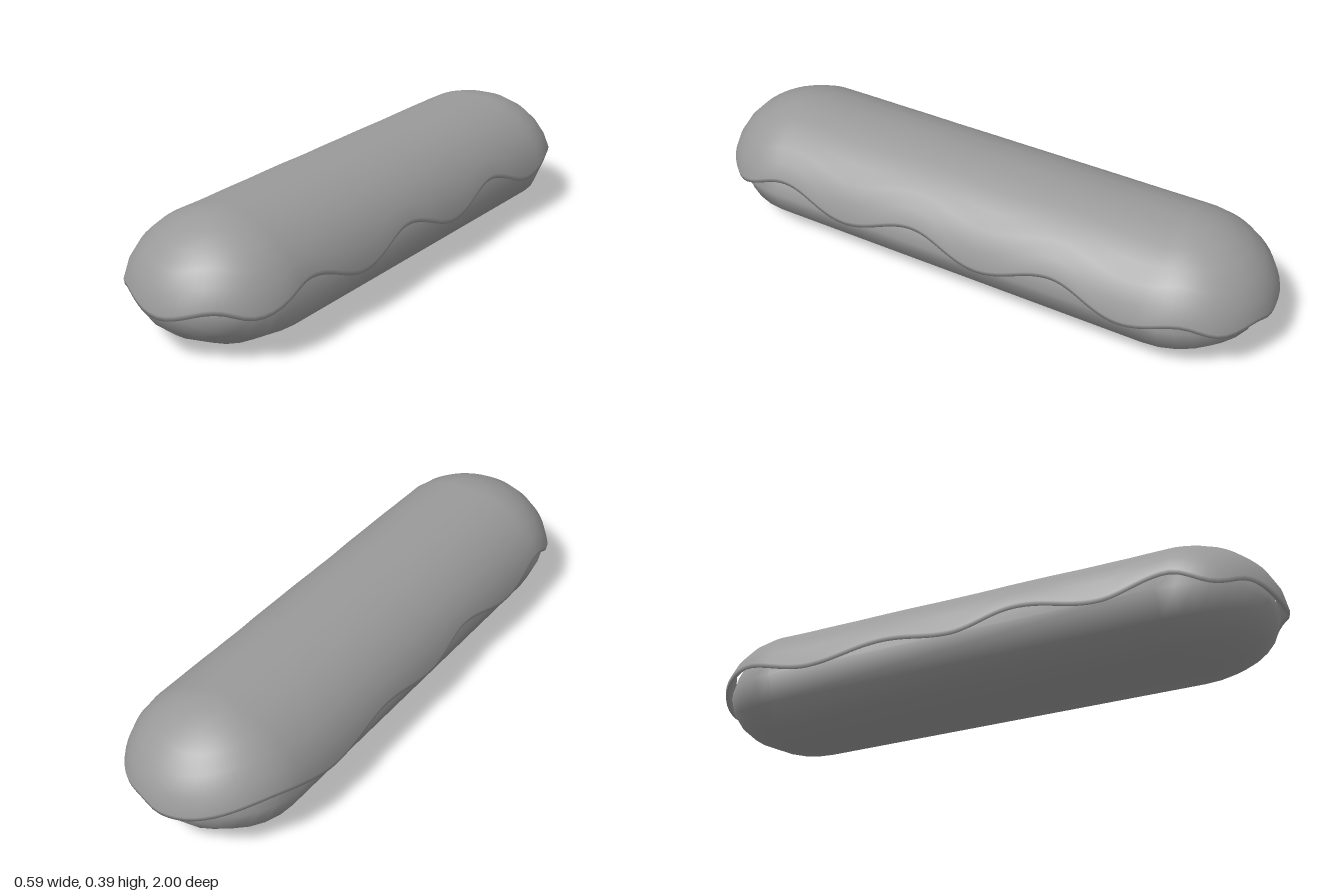
import * as THREE from 'three';
import { mergeVertices } from 'three/addons/utils/BufferGeometryUtils.js';

const HALF = 0.7;            // half length of the straight section
const RX = 0.296, RZ = 0.3;  // glaze radius across and along
const CY = 0.137, RY = 0.253; // glaze centre height and dome height
const CAP = Math.PI / 2 * 0.297; // length of a quarter-round end
const LENGTH = 4 * (CAP + HALF);

// Highs and lows of the drip edge: distance round the outline, height
const DRIPS = [
  [0, 0.14], [0.18, 0.174], [0.30, 0.15], [0.526, 0.208], [0.776, 0.146], [1.036, 0.208],
  [1.286, 0.146], [1.546, 0.208], [1.786, 0.146], [1.98, 0.185], [2.126, 0.15], [2.24, 0.162],
  [2.332, 0.147], [2.68, 0.2], [2.98, 0.143], [3.25, 0.178], [3.5, 0.148], [3.72, 0.195],
  [4.0, 0.145], [4.22, 0.195], [4.366, 0.15], [4.486, 0.177], [LENGTH, 0.14],
];

function dripHeight(s) {
  let i = 0;
  while (i < DRIPS.length - 2 && s > DRIPS[i + 1][0]) i++;
  const [s0, y0] = DRIPS[i], [s1, y1] = DRIPS[i + 1];
  const t = (s - s0) / (s1 - s0);
  return y0 + (y1 - y0) * (1 - Math.cos(Math.PI * t)) / 2;
}

// Stadium outline: front middle, +x side, back, -x side
function outline() {
  const pts = [];
  const add = (s, angle, z) => pts.push({ s, z, dx: Math.sin(angle), dz: Math.cos(angle) });
  const capSteps = 16, sideSteps = 70, q = Math.PI / 2;
  for (let i = 0; i < capSteps; i++) add(CAP * i / capSteps, q * i / capSteps, HALF);
  for (let i = 0; i < sideSteps; i++) {
    const d = 2 * HALF * i / sideSteps;
    add(CAP + d, q, HALF - d);
  }
  for (let i = 0; i < 2 * capSteps; i++) {
    add(CAP + 2 * HALF + CAP * i / capSteps, q + q * i / capSteps, -HALF);
  }
  for (let i = 0; i < sideSteps; i++) {
    const d = 2 * HALF * i / sideSteps;
    add(3 * CAP + 2 * HALF + d, 3 * q, -HALF + d);
  }
  for (let i = 0; i < capSteps; i++) {
    add(3 * CAP + 4 * HALF + CAP * i / capSteps, 3 * q + q * i / capSteps, HALF);
  }
  return pts;
}

// Dome rows from crest to drip edge, then a lip turned under
function glazeGeometry() {
  const pts = outline(), domeRows = 6;
  const lip = [[-0.003, -0.016], [-0.016, -0.006], [-0.034, 0.05]];
  const rows = domeRows + 1 + lip.length;
  const pos = [], index = [];
  for (const p of pts) {
    const edgeY = dripHeight(p.s) + 0.016;
    const edge = Math.acos((edgeY - CY) / RY);
    const put = (r, y) => pos.push(p.dx * RX * r, y, p.z + p.dz * RZ * r);
    for (let j = 0; j <= domeRows; j++) {
      const phi = edge * j / domeRows;
      put(Math.sin(phi), CY + RY * Math.cos(phi));
    }
    for (const [dr, dy] of lip) put(Math.sin(edge) + dr / RX, edgeY + dy);
  }
  for (let i = 0; i < pts.length; i++) {
    const next = (i + 1) % pts.length;
    for (let j = 0; j < rows - 1; j++) {
      const a = i * rows + j, d = next * rows + j;
      // the crest row has no width round the ends
      if (j > 0 || pts[i].z !== pts[next].z) index.push(a, a + 1, d);
      index.push(a + 1, d + 1, d);
    }
  }
  let geo = new THREE.BufferGeometry();
  geo.setAttribute('position', new THREE.Float32BufferAttribute(pos, 3));
  geo.setIndex(index);
  geo = mergeVertices(geo, 1e-4);
  geo.computeVertexNormals();
  return geo;
}

// Twelve-sided capsule along z, flattened below and domed under the glaze
function bodyGeometry() {
  const r = 0.28, mid = 0.157, topHeight = 0.19;
  let geo = new THREE.CapsuleGeometry(r, 1.37, 8, 12);
  geo.rotateX(Math.PI / 2);
  geo.deleteAttribute('normal');
  geo.deleteAttribute('uv');
  const p = geo.attributes.position;
  for (let i = 0; i < p.count; i++) {
    const t = p.getY(i) / r;
    p.setY(i, t > 0 ? mid + topHeight * t : mid * Math.pow(Math.max(0, 1 + t), 1.15));
  }
  geo = mergeVertices(geo, 1e-4);
  geo.computeVertexNormals();
  return geo;
}

export function createModel() {
  const group = new THREE.Group();
  group.name = 'glazedPastry';
  const material = new THREE.MeshStandardMaterial({ color: 0x9a9a9a });

  const body = new THREE.Mesh(bodyGeometry(), material);
  body.name = 'pastryBody';

  // Glaze dripping over the sides
  const glaze = new THREE.Mesh(glazeGeometry(), material);
  glaze.name = 'glaze';

  group.add(body, glaze);
  return group;
}
